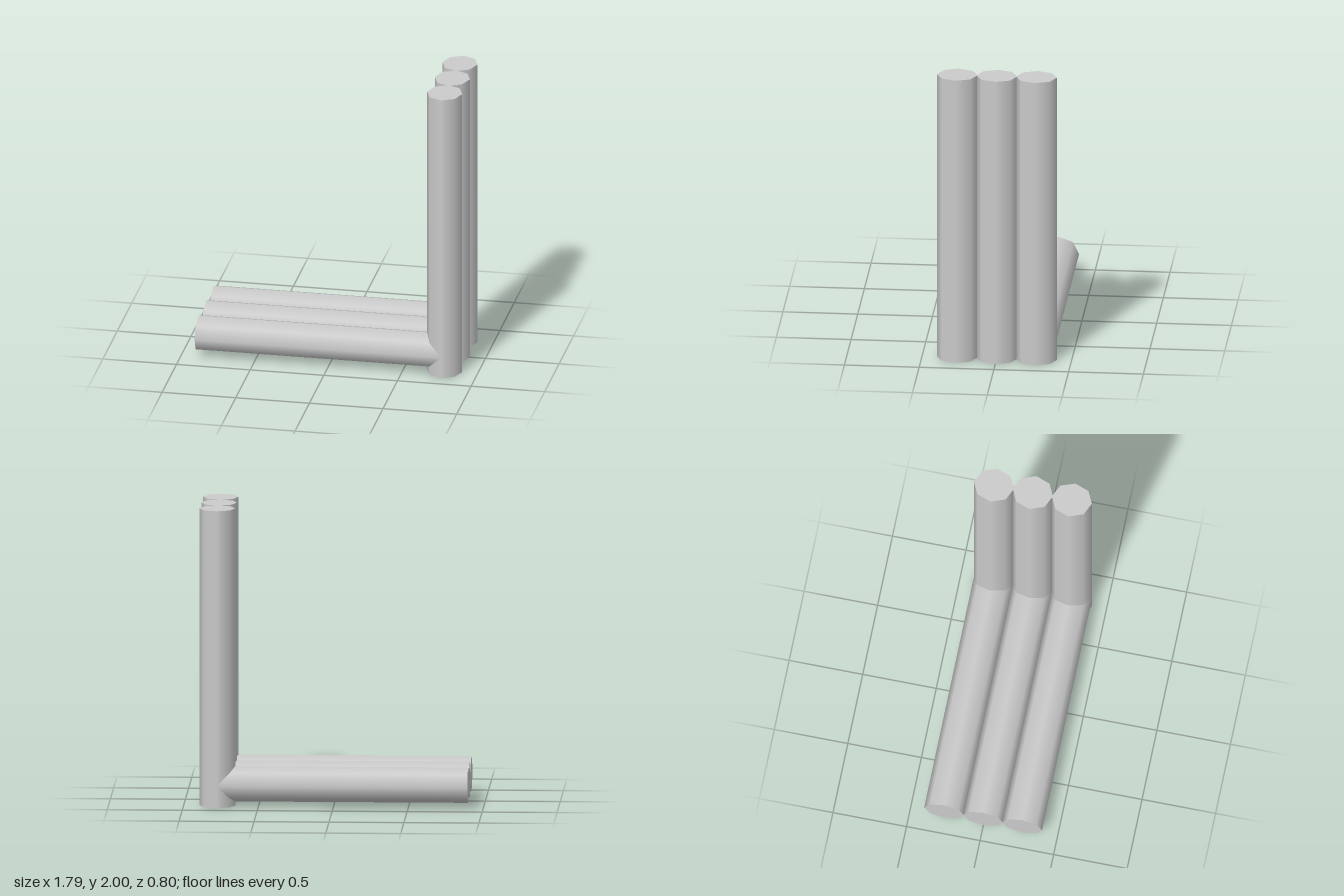
import * as THREE from 'three';

const RADIUS = 0.136;   // half width across the row (z)
const FLAT = 0.119;     // half thickness the other way
const SPACING = 0.265;  // distance between neighbouring logs

// Eight-sided, slightly flattened log standing on its end
function logGeometry(length) {
  const geometry = new THREE.CylinderGeometry(RADIUS, RADIUS, length, 8);
  geometry.scale(FLAT / RADIUS, 1, 1);
  return geometry;
}

export function createModel() {
  const model = new THREE.Group();
  model.name = 'logSeat';
  const material = new THREE.MeshStandardMaterial({ color: 0xcccccc });

  // Upright logs form the back, lying logs run into them to form the seat
  const backGeometry = logGeometry(2);
  const seatStart = -0.897, seatEnd = 0.758;
  const seatGeometry = logGeometry(seatEnd - seatStart).rotateZ(Math.PI / 2);

  const back = new THREE.Group();
  back.name = 'back';
  const seat = new THREE.Group();
  seat.name = 'seat';

  for (const i of [-1, 0, 1]) {
    const backLog = new THREE.Mesh(backGeometry, material);
    backLog.name = 'backLog';
    backLog.position.set(0.775, 1, i * SPACING);
    back.add(backLog);

    const seatLog = new THREE.Mesh(seatGeometry, material);
    seatLog.name = 'seatLog';
    seatLog.position.set((seatStart + seatEnd) / 2, 0.146, i * SPACING);
    seat.add(seatLog);
  }

  model.add(back, seat);
  return model;
}
